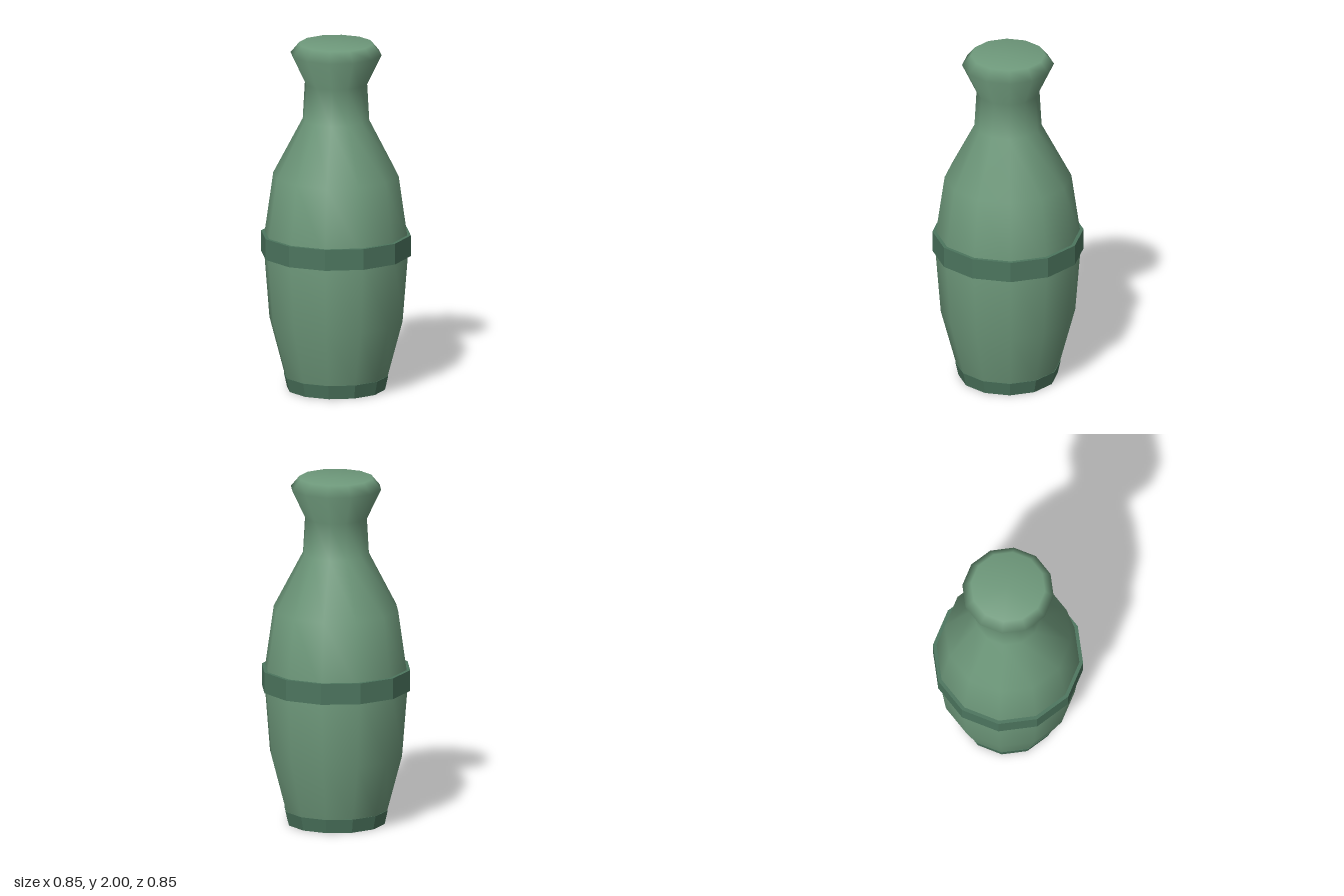
import * as THREE from 'three';

const SIDES = 12;

export function createModel() {
  const model = new THREE.Group();
  const bodyMaterial = new THREE.MeshStandardMaterial({ color: 0x6f9a7c });
  const trimMaterial = new THREE.MeshStandardMaterial({ color: 0x4c755e, flatShading: true });

  // Bottle body with shoulder, neck and flared cap, as [radius, height]
  const profile = [
    [0, 0.01], [0.275, 0.01], [0.295, 0.08], [0.38, 0.4], [0.415, 0.84],
    [0.358, 1.24], [0.19, 1.56], [0.178, 1.77], [0.26, 1.94], [0.21, 2], [0, 2],
  ].map(([r, y]) => new THREE.Vector2(r, y));
  const body = new THREE.Mesh(new THREE.LatheGeometry(profile, SIDES), bodyMaterial);
  body.name = 'body';
  model.add(body);

  // Faceted trims around the waist and the foot
  const addTrim = (name, topRadius, bottomRadius, bottom, top) => {
    const geometry = new THREE.CylinderGeometry(topRadius, bottomRadius, top - bottom, SIDES);
    const trim = new THREE.Mesh(geometry, trimMaterial);
    trim.position.y = (bottom + top) / 2;
    trim.name = name;
    model.add(trim);
  };
  addTrim('waistBand', 0.427, 0.427, 0.78, 0.9);
  addTrim('baseRing', 0.298, 0.28, 0, 0.08);

  return model;
}
